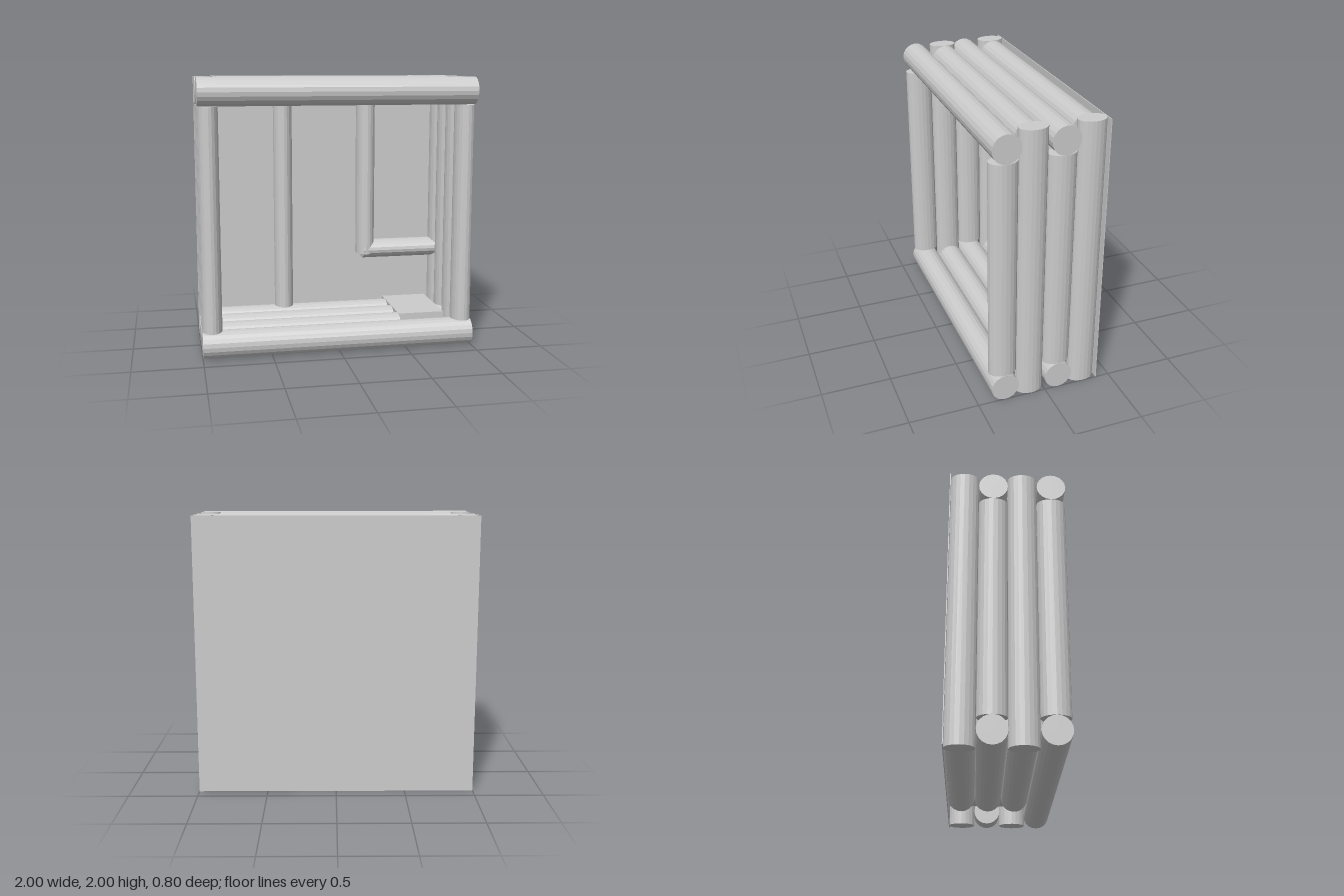
import * as THREE from 'three';

const R = 0.1;    // bar radius
const RT = 0.072; // narrow half-width of the posts

export function createModel() {
  const model = new THREE.Group();
  const material = new THREE.MeshStandardMaterial({ color: 0xcccccc, flatShading: true });

  const add = (name, geometry, x, y, z) => {
    const mesh = new THREE.Mesh(geometry, material);
    mesh.name = name;
    mesh.position.set(x, y, z);
    model.add(mesh);
  };

  // Upright post, oval in plan
  const post = (name, x, y0, y1, z) => {
    const g = new THREE.CylinderGeometry(R, R, y1 - y0, 20).scale(RT / R, 1, 1);
    add(name, g, x, (y0 + y1) / 2, z);
  };

  // Level bar along x
  const bar = (name, x0, x1, y, z, ry = R) => {
    const g = new THREE.CylinderGeometry(R, R, x1 - x0, 20).rotateZ(Math.PI / 2).scale(1, ry / R, 1);
    add(name, g, (x0 + x1) / 2, y, z);
  };

  // Four stacked frames, alternating long bars and long posts
  [0.3, 0.1, -0.1, -0.3].forEach((z, i) => {
    const longBars = i % 2 === 0;
    const end = longBars ? 1 : 0.855;
    bar('roofBar', -end, end, 1.9, z);
    if (i === 0) {
      bar('floorBar', -end, end, 0.1, z);
    } else {
      // Floor bars stop at the hatch opening
      bar('floorBar', -end, 0.5, 0.1, z);
      if (longBars) bar('floorBarStub', 0.855, end, 0.1, z);
    }
    for (const side of [-1, 1]) {
      post('cornerPost', side * (1 - RT), longBars ? 0.2 : 0, longBars ? 1.8 : 2, z);
    }
  });

  // Floor hatch
  add('hatch', new THREE.BoxGeometry(0.355, 0.06, 0.53), 0.6775, 0.17, -0.135);

  // Inner wall post, and the hanging post with its rail
  post('wallPost', -0.33, 0.2, 1.8, -0.3);
  post('windowPost', 0.325, 0.6, 1.8, -0.3);
  bar('windowRail', 0.3, 0.925, 0.63, -0.3, RT);

  // Thin back panel
  add('backPanel', new THREE.BoxGeometry(2, 2, 0.006), 0, 1, -0.4);

  return model;
}
